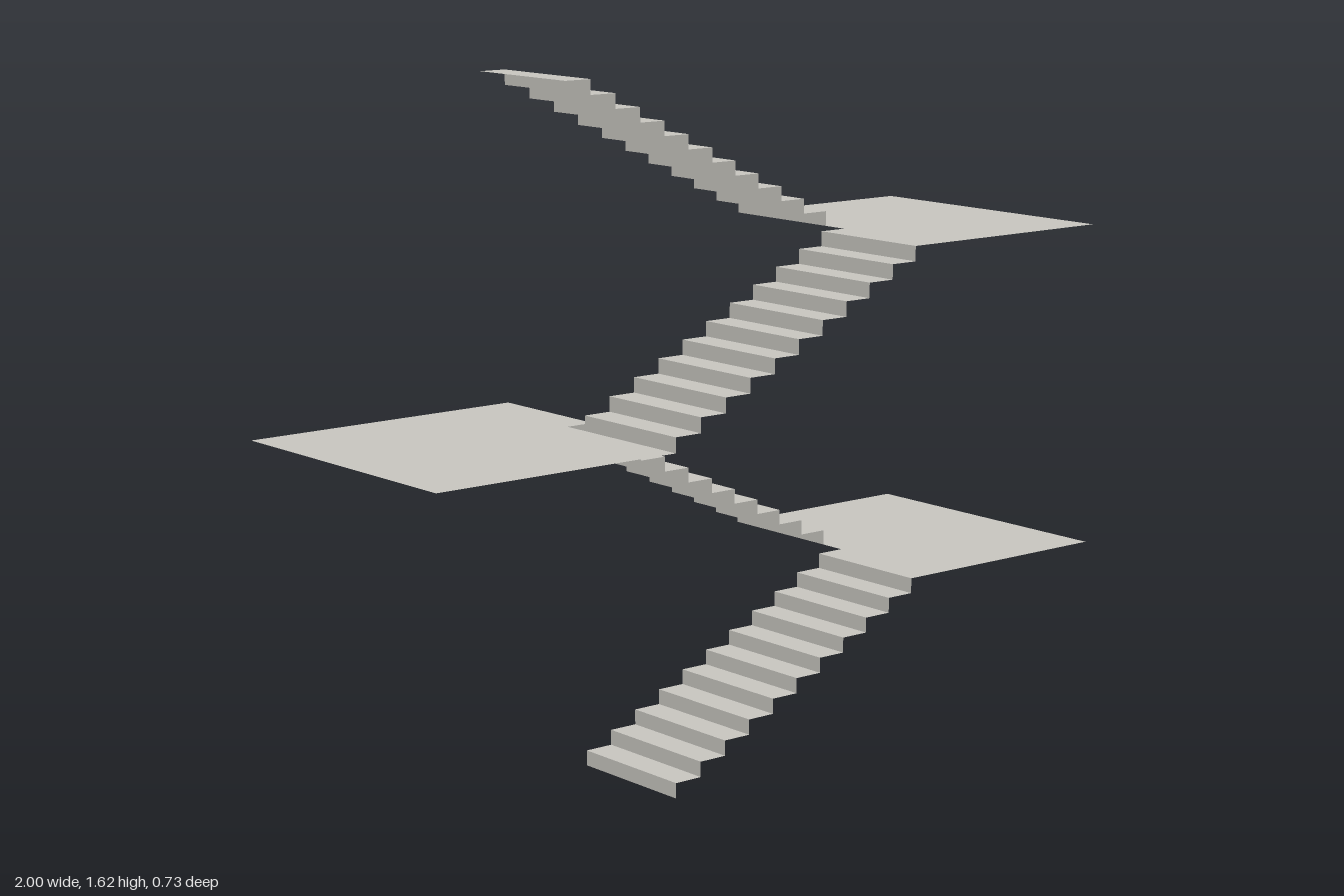
import * as THREE from 'three';
import { mergeGeometries } from 'three/addons/utils/BufferGeometryUtils.js';

const STEPS = 11, FLIGHTS = 4;
const X0 = -0.341, X1 = 0.468;           // ends of the flights
const Z_IN = 0.033, Z_OUT = 0.367;       // inner and outer stringer lines
const RISE = 1.62 / (STEPS * FLIGHTS), RUN = (X1 - X0) / STEPS;
const FLIGHT_HEIGHT = RISE * STEPS;

// One flight rising towards +x from the origin, centred on z
function flightGeometry() {
  const width = Z_OUT - Z_IN, parts = [];
  for (let i = 0; i < STEPS; i++) {
    parts.push(new THREE.PlaneGeometry(width, RISE).rotateY(-Math.PI / 2)
      .translate(i * RUN, (i + 0.5) * RISE, 0));
    parts.push(new THREE.PlaneGeometry(RUN, width).rotateX(-Math.PI / 2)
      .translate((i + 0.5) * RUN, (i + 1) * RISE, 0));
  }
  return mergeGeometries(parts);
}

export function createModel() {
  const concrete = new THREE.MeshStandardMaterial({ color: 0xc8c6c0, side: THREE.DoubleSide });
  concrete.name = 'concrete';
  const model = new THREE.Group();
  model.name = 'staircase';
  const steps = flightGeometry();

  for (let i = 0; i < FLIGHTS; i++) {
    const toRight = i % 2 === 0;         // flights alternate direction and side
    const flight = new THREE.Mesh(steps, concrete);
    flight.name = `flight${i + 1}`;
    flight.rotation.y = toRight ? 0 : Math.PI;
    flight.position.set(toRight ? X0 : X1, i * FLIGHT_HEIGHT, (toRight ? 1 : -1) * (Z_IN + Z_OUT) / 2);
    model.add(flight);

    // Landing at the head of every flight but the last
    if (i === FLIGHTS - 1) continue;
    const from = toRight ? X1 : -1, to = toRight ? 1 : X0;
    const landing = new THREE.Mesh(
      new THREE.PlaneGeometry(to - from, Z_OUT * 2).rotateX(-Math.PI / 2), concrete);
    landing.name = `landing${i + 1}`;
    landing.position.set((from + to) / 2, (i + 1) * FLIGHT_HEIGHT, 0);
    model.add(landing);
  }
  return model;
}
